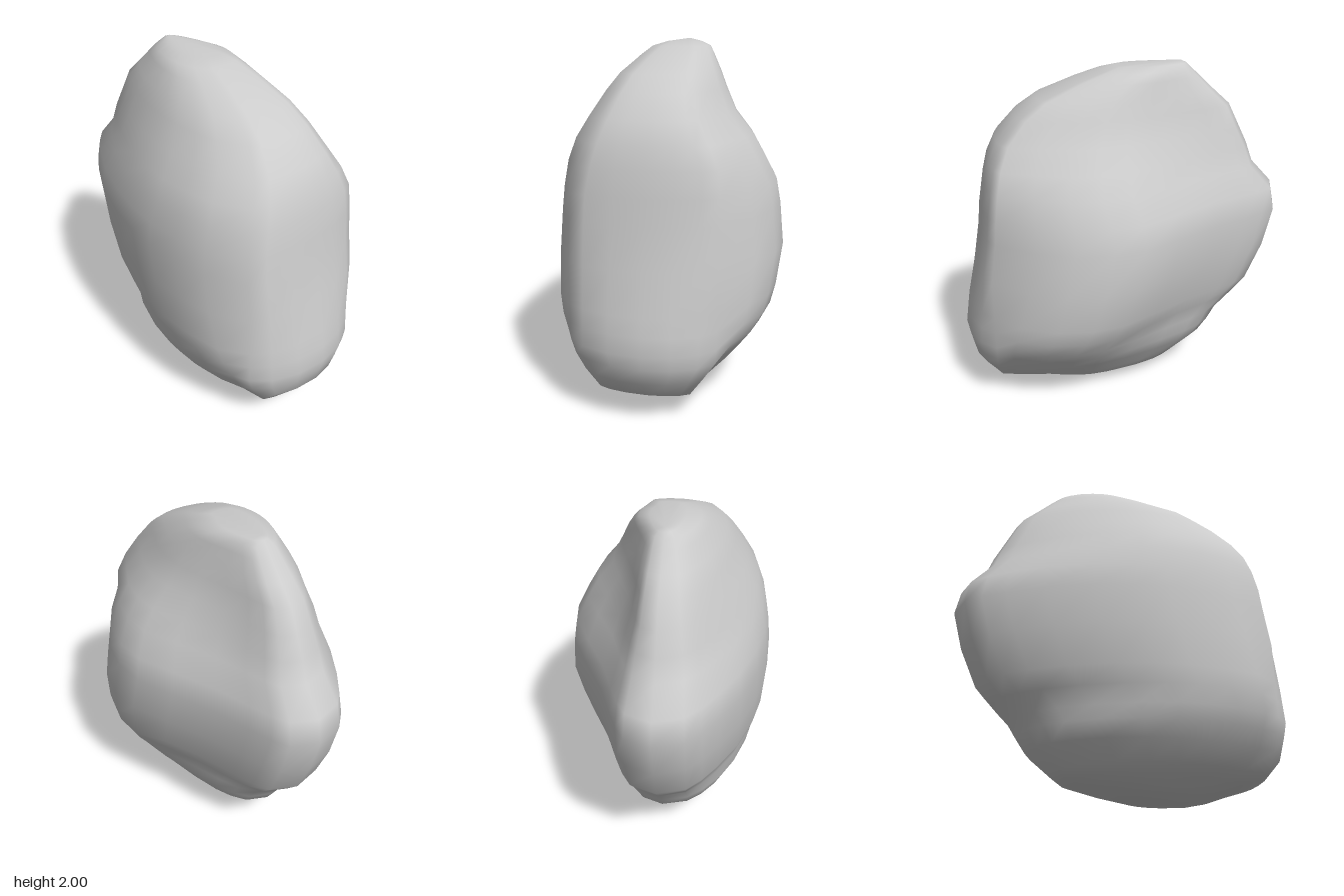
import * as THREE from 'three';

const { lerp } = THREE.MathUtils;
const MID = 0.03;

// Teardrop section, narrow at -x: [t along x, back depth, front depth]
const TEARDROP = [
  [0.03, 0.24, 0.28], [0.08, 0.33, 0.42], [0.15, 0.42, 0.56], [0.26, 0.55, 0.74],
  [0.40, 0.77, 0.89], [0.52, 0.95, 0.97], [0.62, 1.00, 1.00], [0.73, 0.96, 0.98],
  [0.84, 0.82, 0.92],
];
// Blunt end at +x: [way from corner to tip, share of corner depth]
const END = [[0, 1], [0.5, 0.78], [0.87, 0.42]];

// Levels from bottom to top: [y, xMin, xMax, zBack, zFront, roundness, pinch of the narrow end]
const LEVELS = [
  [0.012, 0.03, 0.44, -0.11, 0.22, 1.0, 1],
  [0.045, -0.15, 0.58, -0.17, 0.29, 0.9, 1],
  [0.09, -0.33, 0.70, -0.23, 0.36, 0.8, 1],
  [0.14, -0.40, 0.85, -0.28, 0.42, 0.7, 1],
  [0.25, -0.53, 0.95, -0.38, 0.50, 0.6, 1],
  [0.34, -0.59, 0.97, -0.46, 0.555, 0.5, 0.97],
  [0.42, -0.64, 0.99, -0.52, 0.58, 0.32, 0.9],
  [0.52, -0.74, 0.975, -0.575, 0.60, 0.1, 0.93],
  [0.62, -0.83, 0.96, -0.60, 0.615, 0.03, 1],
  [0.85, -0.93, 0.91, -0.63, 0.625, 0, 1],
  [1.08, -0.99, 0.87, -0.605, 0.62, 0, 1],
  [1.22, -0.96, 0.855, -0.58, 0.605, 0, 0.98],
  [1.36, -0.83, 0.83, -0.51, 0.575, 0, 0.94],
  [1.48, -0.785, 0.80, -0.44, 0.53, 0, 0.95],
  [1.60, -0.725, 0.745, -0.34, 0.46, 0.05, 0.97],
  [1.73, -0.66, 0.63, -0.275, 0.385, 0.1, 1],
  [1.82, -0.56, 0.50, -0.235, 0.33, 0.18, 1],
  [1.91, -0.465, 0.28, -0.18, 0.25, 0.3, 1],
  [1.96, -0.41, 0.13, -0.145, 0.20, 0.4, 1],
  [1.985, -0.385, 0.04, -0.08, 0.12, 0.5, 1],
];

// One closed ring of points: along the front to +x, then back to -x
function section([y, x0, x1, zBack, zFront, round, pinch]) {
  const cornerX = Math.min(0.82, lerp(x0, x1, 0.955));
  const side = (column, reach, extra, limit) => {
    const flank = TEARDROP.map((row) => {
      const t = row[0];
      const oval = 2 * Math.sqrt(t * (1 - t));
      const narrow = lerp(pinch, 1, Math.min(1, t / 0.5));
      return [lerp(x0, x1, t), y, MID + (reach - MID) * lerp(row[column], oval, round) * narrow];
    });
    // The corner beside the blunt end face is widest low down
    const share = lerp(lerp(0.8, 0.58, y / 2) + extra, 0.6, round * round);
    const cornerZ = Math.sign(reach) * Math.min(limit, Math.abs(reach) * share);
    const end = END.map(([s, d]) => [lerp(cornerX, x1, s), y, lerp(MID, cornerZ, d)]);
    return [...flank, ...end];
  };
  return [
    [x0, y, MID],
    ...side(2, zFront, 0.08, 0.46),
    [x1, y, MID],
    ...side(1, zBack, 0, 0.34).reverse(),
  ];
}

// Skin the rings and close both ends with a fan
function loft(rings, bottom, top) {
  const n = rings[0].length;
  const index = [];
  for (let r = 0; r < rings.length - 1; r++) {
    for (let i = 0; i < n; i++) {
      const a = r * n + i, b = r * n + (i + 1) % n;
      index.push(a, b, b + n, a, b + n, a + n);
    }
  }
  const low = rings.length * n, high = low + 1, last = low - n;
  for (let i = 0; i < n; i++) {
    const j = (i + 1) % n;
    index.push(low, j, i, high, last + i, last + j);
  }
  const geometry = new THREE.BufferGeometry();
  geometry.setAttribute('position',
    new THREE.Float32BufferAttribute([...rings.flat(), bottom, top].flat(), 3));
  geometry.setIndex(index);
  geometry.computeVertexNormals();
  return geometry;
}

export function createModel() {
  const group = new THREE.Group();
  group.name = 'rock';

  // Boulder body
  const boulder = new THREE.Mesh(
    loft(LEVELS.map(section), [0.35, 0, 0.05], [-0.35, 2, MID]),
    new THREE.MeshStandardMaterial({ color: 0xcccccc }),
  );
  boulder.name = 'boulder';
  group.add(boulder);
  return group;
}
